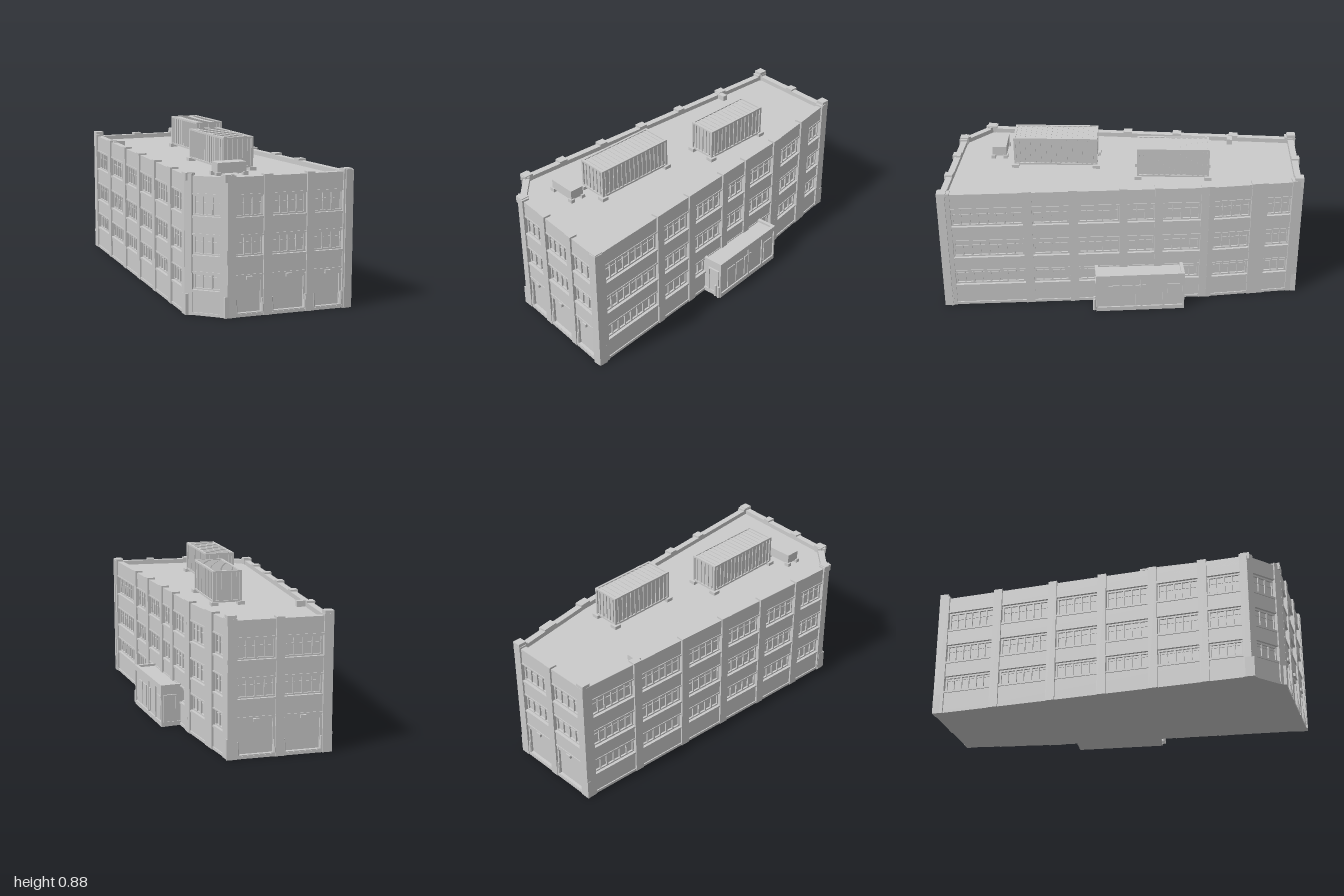
import * as THREE from 'three';

const mat = new THREE.MeshStandardMaterial({ color: 0xcccccc, flatShading: true });
const ROOF = 0.69;

// Corners as [x, z], running front -> right -> back -> left -> cut corner
const FOOT = [[-0.28, 0.96], [0.405, 1], [0.285, -0.48], [0.205, -1], [-0.35, -1], [-0.45, 0.8]];

function add(parent, name, geo, x = 0, y = 0, z = 0) {
  const m = new THREE.Mesh(geo, mat);
  m.name = name;
  m.position.set(x, y, z);
  parent.add(m);
  return m;
}

// Box given by its extents
function box(parent, name, x0, x1, y0, y1, z0, z1) {
  return add(parent, name, new THREE.BoxGeometry(x1 - x0, y1 - y0, z1 - z0),
    (x0 + x1) / 2, (y0 + y1) / 2, (z0 + z1) / 2);
}

// Moves every edge of a footprint inward by d
function inset(poly, d) {
  const n = poly.length;
  const lines = poly.map((p, i) => {
    const q = poly[(i + 1) % n];
    const dx = q[0] - p[0], dz = q[1] - p[1], l = Math.hypot(dx, dz);
    return { x: p[0] + dz / l * d, z: p[1] - dx / l * d, dx, dz };
  });
  return lines.map((b, i) => {
    const a = lines[(i + n - 1) % n];
    const t = ((b.x - a.x) * b.dz - (b.z - a.z) * b.dx) / (a.dx * b.dz - a.dz * b.dx);
    return [a.x + a.dx * t, a.z + a.dz * t];
  });
}

// Upright prism on a footprint, optionally hollow
function prism(parent, name, poly, y0, y1, hole) {
  const pts = p => p.map(([x, z]) => new THREE.Vector2(x, -z));
  const shape = new THREE.Shape(pts(poly));
  if (hole) shape.holes.push(new THREE.Path(pts(hole)));
  const geo = new THREE.ExtrudeGeometry(shape, { depth: y1 - y0, bevelEnabled: false });
  geo.rotateX(-Math.PI / 2);
  return add(parent, name, geo, 0, y0, 0);
}

// Group on a wall line: local x runs from a to b, local z points outward
function wallGroup(parent, name, a, b) {
  const g = new THREE.Group();
  g.name = name;
  g.position.set(a[0], 0, a[1]);
  g.rotation.y = Math.atan2(a[1] - b[1], b[0] - a[0]);
  parent.add(g);
  return g;
}

// Recessed window: frame, mullions, glazing bar and sill
function addWindow(g, x0, x1, y0, y1) {
  const w = new THREE.Group();
  w.name = 'window';
  g.add(w);
  const n = Math.max(2, Math.round((x1 - x0) / 0.05)), f = 0.005;
  for (let i = 0; i <= n; i++) {
    const x = x0 + f + (x1 - x0 - 2 * f) * i / n;
    const wide = i % 2 ? 0.003 : f;
    box(w, 'mullion', x - wide, x + wide, y0, y1, -0.034, -0.021);
  }
  box(w, 'frameTop', x0, x1, y1 - 0.01, y1, -0.034, -0.02);
  box(w, 'frameBottom', x0, x1, y0, y0 + 0.01, -0.034, -0.02);
  box(w, 'glazingBar', x0, x1, y0 + 0.066, y0 + 0.071, -0.034, -0.026);
  box(w, 'sill', x0, x1, y0 - 0.009, y0 + 0.002, -0.034, -0.004);
}

// Loading door with jambs, lintel, lamp and corner guards
function addDoor(g, x0, x1) {
  const d = new THREE.Group();
  d.name = 'loadingDoor';
  g.add(d);
  const m = (x0 + x1) / 2, j = 0.012;
  box(d, 'doorLeaf', x0 + j, x1 - j, 0.02, 0.185, -0.034, -0.024);
  box(d, 'jamb', x0, x0 + j, 0, 0.2, -0.034, -0.012);
  box(d, 'jamb', x1 - j, x1, 0, 0.2, -0.034, -0.012);
  box(d, 'lintel', x0, x1, 0.183, 0.212, -0.034, -0.014);
  box(d, 'threshold', x0, x1, 0, 0.02, -0.034, -0.006);
  box(d, 'lamp', m - 0.016, m + 0.016, 0.19, 0.208, -0.02, 0);
  for (const x of [x0 + 0.003, x1 - 0.003])
    add(d, 'cornerGuard', new THREE.CylinderGeometry(0.006, 0.011, 0.07, 8), x, 0.055, -0.012);
}

// One facade; piers are [position on the chosen axis, width]
function facade(parent, name, a, b, axis, piers, doors) {
  const g = wallGroup(parent, name, a, b);
  const len = Math.hypot(b[0] - a[0], b[1] - a[1]);
  const spans = piers.map(([v, w]) => {
    const s = (v - a[axis]) / (b[axis] - a[axis]) * len;
    return [Math.max(0, s - w / 2), Math.min(len, s + w / 2)];
  });
  const bands = doors ? [[0.21, 0.31], [0.415, 0.51], [0.62, 0.71]]
    : [[0, 0.13], [0.22, 0.31], [0.415, 0.51], [0.62, 0.71]];
  for (const [y0, y1] of bands) {
    box(g, 'wallBand', 0.01, len - 0.01, y0, y1, -0.04, -0.01);
    if (y0) box(g, 'bandEdge', 0.01, len - 0.01, y0, y0 + 0.008, -0.04, -0.006);
  }
  spans.forEach(([s0, s1], i) => {
    box(g, 'pier', s0, s1, 0, 0.725, -0.045, 0);
    if (i === spans.length - 1) return;
    const x0 = s1, x1 = spans[i + 1][0];
    addWindow(g, x0, x1, 0.51, 0.62);
    addWindow(g, x0, x1, 0.31, 0.415);
    if (doors) addDoor(g, x0, x1);
    else addWindow(g, x0, x1, 0.13, 0.22);
  });
}

// Corrugated rooftop unit on four feet
function roofUnit(parent, x0, x1, z0, z1, top) {
  const g = new THREE.Group();
  g.name = 'rooftopUnit';
  parent.add(g);
  const y0 = ROOF + 0.015, e = 0.008;
  box(g, 'unitBody', x0 + e, x1 - e, y0, top - 0.006, z0 + e, z1 - e);
  for (const x of [x0, x1 - 0.012]) {
    for (const z of [z0, z1 - 0.012]) {
      box(g, 'cornerPost', x, x + 0.012, y0, top, z, z + 0.012);
      box(g, 'foot', x - 0.014, x + 0.026, ROOF, y0 + 0.004, z - 0.014, z + 0.026);
    }
    for (const y of [y0, top - 0.01]) box(g, 'sideRail', x, x + 0.012, y, y + 0.01, z0, z1);
  }
  for (const z of [z0, z1 - 0.012])
    for (const y of [y0, top - 0.01]) box(g, 'endRail', x0, x1, y, y + 0.01, z, z + 0.012);
  const n = Math.round((z1 - z0) / 0.03);
  for (let i = 1; i < n; i++) {
    const z = z0 + (z1 - z0) * i / n;
    box(g, 'rib', x0 + 0.003, x1 - 0.003, y0, top - 0.003, z - 0.006, z + 0.006);
  }
  for (let i = 1; i < 6; i++) {
    const x = x0 + (x1 - x0) * i / 6;
    box(g, 'endRib', x - 0.005, x + 0.005, y0, top - 0.01, z0 + 0.003, z1 - 0.003);
  }
}

export function createModel() {
  const model = new THREE.Group();
  model.name = 'building';

  // Body, roof edge and plinth
  prism(model, 'body', inset(FOOT, 0.03), 0, ROOF);
  prism(model, 'parapet', inset(FOOT, 0.01), ROOF - 0.02, 0.715, inset(FOOT, 0.045));
  prism(model, 'plinth', inset(FOOT, 0.004), 0, 0.015);

  // Facades
  const [F0, F1, R, B0, B1, L] = FOOT;
  facade(model, 'frontFacade', F0, F1, 0,
    [[-0.258, 0.045], [-0.063, 0.046], [0.17, 0.042], [0.378, 0.055]], true);
  facade(model, 'rightFrontFacade', F1, R, 1,
    [[0.965, 0.07], [0.515, 0.05], [0.265, 0.05], [-0.01, 0.045], [-0.205, 0.045], [-0.46, 0.045]], false);
  facade(model, 'rightRearFacade', R, B0, 1, [[-0.495, 0.03], [-0.76, 0.09], [-0.97, 0.06]], false);
  facade(model, 'backFacade', B0, B1, 0, [[0.18, 0.05], [-0.07, 0.045], [-0.325, 0.05]], true);
  facade(model, 'leftFacade', B1, L, 1,
    [[-0.97, 0.06], [-0.64, 0.05], [-0.31, 0.05], [-0.02, 0.05], [0.27, 0.05], [0.55, 0.05], [0.78, 0.045]], false);
  facade(model, 'cutCornerFacade', L, F0, 0, [[-0.435, 0.04], [-0.295, 0.04]], false);

  // Corner caps and wider corner feet
  inset(FOOT, 0.025).forEach(([x, z], i) => {
    if (i === 2) return;
    const h = i === 3 || i === 4 ? 0.742 : 0.73;
    box(model, 'cornerCap', x - 0.024, x + 0.024, 0.69, h, z - 0.024, z + 0.024);
    box(model, 'cornerFoot', x - 0.026, x + 0.026, 0, 0.11, z - 0.025, z + 0.025);
  });

  // Rooftop equipment
  roofUnit(model, -0.02, 0.14, -0.48, -0.08, 0.875);
  roofUnit(model, -0.155, 0.017, 0.145, 0.615, 0.87);
  box(model, 'ventBox', -0.245, -0.085, ROOF + 0.015, 0.76, 0.67, 0.75);
  for (const x of [-0.24, -0.09])
    for (const z of [0.675, 0.745])
      box(model, 'ventFoot', x - 0.015, x + 0.015, ROOF, ROOF + 0.02, z - 0.012, z + 0.012);
  box(model, 'roofHatch', -0.35, -0.28, ROOF, 0.722, -0.63, -0.6);

  // Side annex with end doors and wall panels
  const annex = new THREE.Group();
  annex.name = 'annex';
  model.add(annex);
  const A = [[0.30, 0.155], [0.445, 0.14], [0.40, -0.355], [0.26, -0.34]];
  prism(annex, 'annexBody', inset(A, 0.008), 0, 0.222);
  prism(annex, 'annexParapet', A, 0.205, 0.235, inset(A, 0.018));
  prism(annex, 'annexBase', A, 0, 0.025);
  const side = wallGroup(annex, 'annexSide', A[1], A[2]);
  for (const x of [0, 0.25, 0.375, 0.487]) box(side, 'annexPost', x, x + 0.01, 0, 0.22, -0.012, 0);
  for (let i = 0; i < 3; i++) {
    const x = 0.07 + i * 0.075;
    box(side, 'wallPanel', x, x + 0.06, 0.035, 0.165, -0.012, -0.003);
  }
  box(side, 'wallPanel', 0.4, 0.47, 0.035, 0.165, -0.012, -0.003);
  for (const [a, b, x] of [[A[0], A[1], 0.055], [A[2], A[3], 0.015]]) {
    const end = wallGroup(annex, 'annexEnd', a, b);
    box(end, 'annexDoor', x + 0.008, x + 0.067, 0.02, 0.17, -0.012, -0.004);
    for (const px of [x, x + 0.067]) box(end, 'doorJamb', px, px + 0.008, 0, 0.178, -0.012, 0.002);
    box(end, 'doorHead', x, x + 0.075, 0.17, 0.178, -0.012, 0.002);
  }
  for (const x of [0.415, 0.44])
    add(annex, 'bollard', new THREE.CylinderGeometry(0.007, 0.01, 0.07, 8), x, 0.045, 0.15);

  return model;
}
